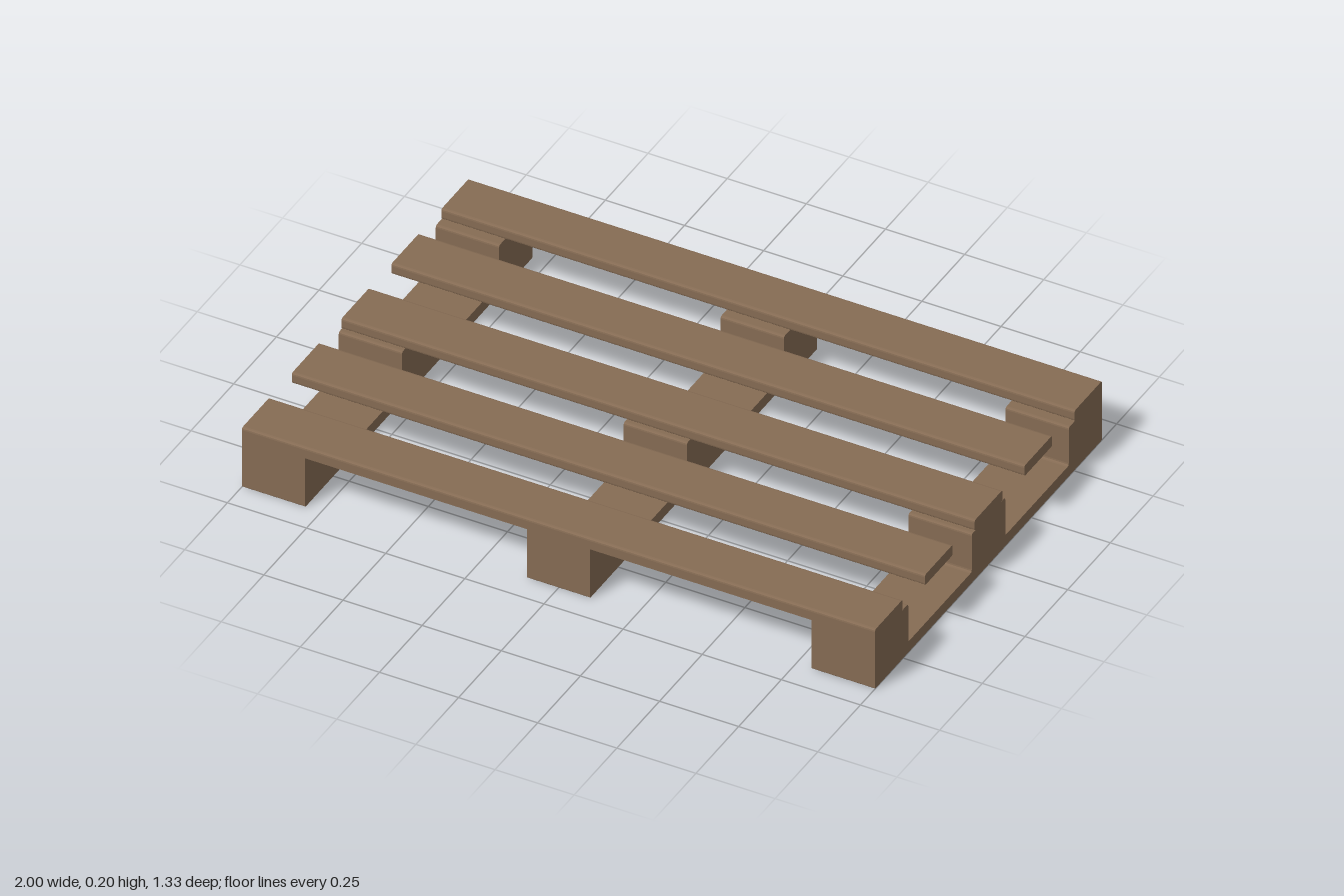
import * as THREE from 'three';

const BEVEL = 0.008;
const HALF_DEPTH = 0.665, RUNNER_TOP = 0.037, BLOCK_TOP = 0.168, DECK_TOP = 0.204;

// Side profile from [z, y, cornerRadius] points, extruded along x and centred on x = 0
function extrudeAlongX(points, length) {
  const shape = new THREE.Shape();
  const n = points.length;
  const towards = (a, b, r) => {
    const d = Math.hypot(b[0] - a[0], b[1] - a[1]);
    return [-(a[0] + (b[0] - a[0]) * r / d), a[1] + (b[1] - a[1]) * r / d];
  };
  points.forEach((p, i) => {
    const r = p[2];
    const start = towards(p, points[(i + n - 1) % n], r);
    if (i === 0) shape.moveTo(...start);
    else shape.lineTo(...start);
    if (r > 0) shape.quadraticCurveTo(-p[0], p[1], ...towards(p, points[(i + 1) % n], r));
  });
  shape.closePath();
  const geometry = new THREE.ExtrudeGeometry(shape, { depth: length, bevelEnabled: false, curveSegments: 3 });
  return geometry.translate(0, 0, -length / 2).rotateY(Math.PI / 2);
}

export function createModel() {
  const group = new THREE.Group();
  const wood = new THREE.MeshStandardMaterial({ color: 0x866c54 });

  const add = (name, geometry, x = 0) => {
    const mesh = new THREE.Mesh(geometry, wood);
    mesh.name = name;
    mesh.position.x = x;
    group.add(mesh);
  };

  // Supports: a bottom runner with three blocks rising from it
  const half = [
    [HALF_DEPTH, 0, BEVEL / 2],
    [HALF_DEPTH, BLOCK_TOP, 0],
    [0.47, BLOCK_TOP, BEVEL],
    [0.47, RUNNER_TOP, BEVEL],
    [0.098, RUNNER_TOP, BEVEL],
    [0.098, BLOCK_TOP, BEVEL],
  ];
  const mirrored = half.map(([z, y, r]) => [-z, y, r]).reverse();
  const supportGeometry = extrudeAlongX([...half, ...mirrored], 0.2);
  [['rightSupport', -0.9], ['middleSupport', 0], ['leftSupport', 0.9]]
    .forEach(([name, x]) => add(name, supportGeometry, x));

  // Deck boards; outer boards stay square where they sit flush on the blocks
  const board = (name, z0, z1, r0 = BEVEL, r1 = BEVEL) => add(name, extrudeAlongX([
    [z0, BLOCK_TOP, r0], [z1, BLOCK_TOP, r1], [z1, DECK_TOP, BEVEL], [z0, DECK_TOP, BEVEL],
  ], 2));
  board('frontBoard', 0.503, HALF_DEPTH, BEVEL, 0);
  board('frontInnerBoard', 0.21, 0.373);
  board('middleBoard', -0.082, 0.082);
  board('backInnerBoard', -0.373, -0.21);
  board('backBoard', -HALF_DEPTH, -0.503, 0, BEVEL);

  return group;
}
